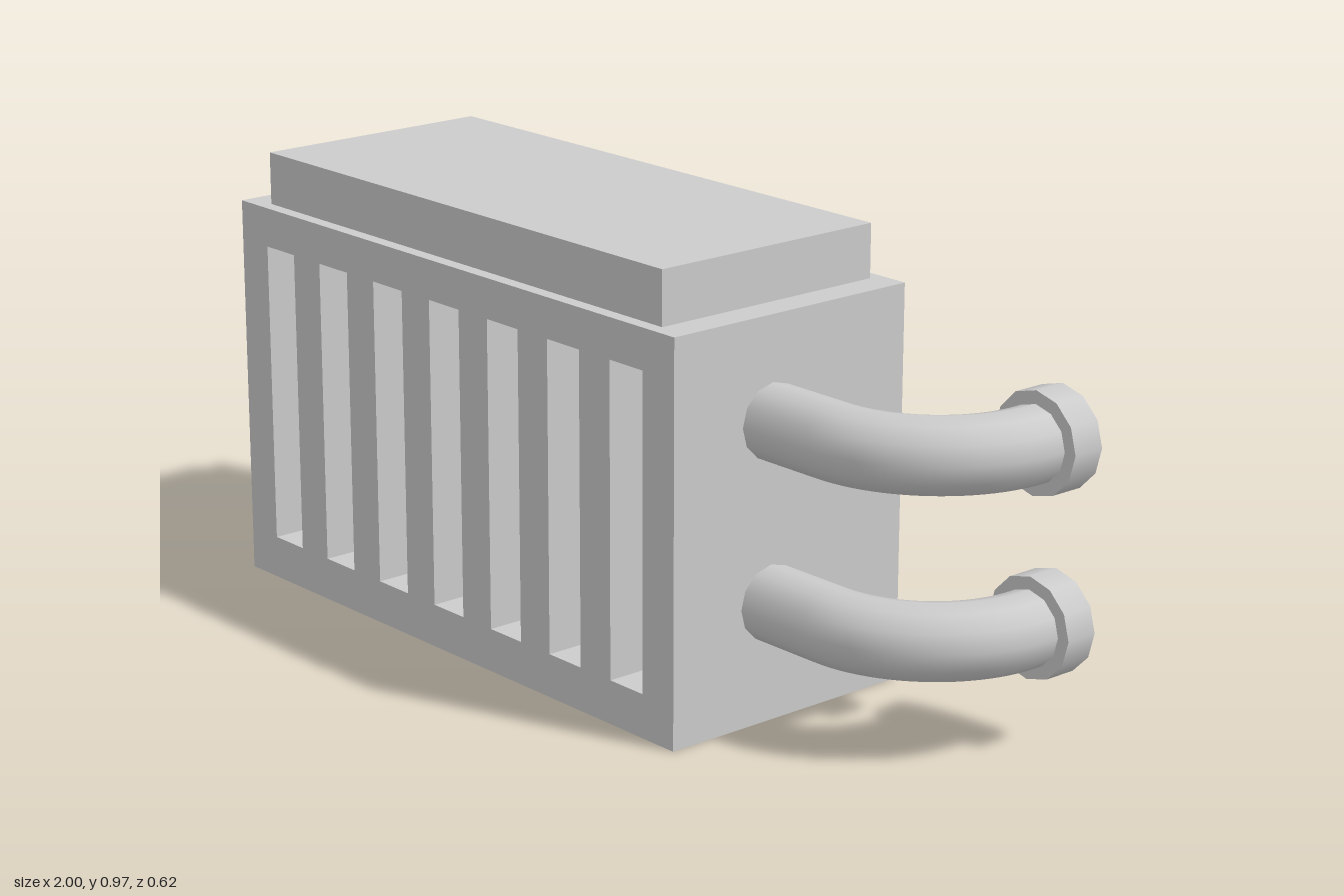
import * as THREE from 'three';

export function createModel() {
  const model = new THREE.Group();
  const grey = new THREE.MeshStandardMaterial({ color: 0xcccccc });
  const shell = new THREE.MeshStandardMaterial({ color: 0xcccccc, side: THREE.DoubleSide });
  const cyan = new THREE.MeshStandardMaterial({ color: 0x12fff9 });

  function add(parent, name, geometry, material, x = 0, y = 0, z = 0) {
    const mesh = new THREE.Mesh(geometry, material);
    mesh.name = name;
    mesh.position.set(x, y, z);
    parent.add(mesh);
    return mesh;
  }

  function rect(path, x0, y0, x1, y1) {
    path.moveTo(x0, y0);
    path.lineTo(x1, y0);
    path.lineTo(x1, y1);
    path.lineTo(x0, y1);
    path.closePath();
    return path;
  }

  // Housing: solid rear block plus a slotted front wall
  const left = -1, right = 0.45, height = 0.857, half = 0.31, slotDepth = 0.2;
  const width = right - left, midX = (left + right) / 2;
  const backDepth = 2 * half - slotDepth, slotBack = half - slotDepth;
  add(model, 'housing', new THREE.BoxGeometry(width, height, backDepth), grey,
    midX, height / 2, -half + backDepth / 2);

  const front = rect(new THREE.Shape(), left, 0, right, height);
  const slotW = 0.1, slotBottom = 0.095, slotTop = 0.77;
  for (let i = 0; i < 7; i++) {
    const x = -0.857 + i * 0.194;
    front.holes.push(rect(new THREE.Path(), x - slotW / 2, slotBottom, x + slotW / 2, slotTop));
    // Coloured panel at the back of each slot
    add(model, 'slotPanel', new THREE.PlaneGeometry(slotW, slotTop - slotBottom), cyan,
      x, (slotBottom + slotTop) / 2, slotBack + 0.002);
  }
  add(model, 'slottedFront',
    new THREE.ExtrudeGeometry(front, { depth: slotDepth, bevelEnabled: false }), grey, 0, 0, slotBack);

  // Raised lid
  add(model, 'lid', new THREE.BoxGeometry(1.31, 0.116, 0.56), grey, -0.275, 0.915, 0);

  // Two bent pipes, each ending in an open collar facing the back
  const pipeX = 0.89, pipeZ = 0.05, bend = 0.267, k = bend * 0.5523;
  const startX = pipeX - bend, endZ = pipeZ - bend, collarFront = -0.235;
  const v = (x, z) => new THREE.Vector3(x, 0, z);
  const path = new THREE.CurvePath();
  path.add(new THREE.LineCurve3(v(right, pipeZ), v(startX, pipeZ)));
  path.add(new THREE.CubicBezierCurve3(v(startX, pipeZ), v(startX + k, pipeZ),
    v(pipeX, endZ + k), v(pipeX, endZ)));
  path.add(new THREE.LineCurve3(v(pipeX, endZ), v(pipeX, collarFront)));

  const pipeR = 0.08, collarR = 0.108, collarLen = half + collarFront;
  for (const y of [0.255, 0.637]) {
    const pipe = new THREE.Group();
    pipe.name = 'pipe';
    pipe.position.y = y;
    model.add(pipe);
    add(pipe, 'pipeTube', new THREE.TubeGeometry(path, 32, pipeR, 12, false), shell);
    const collar = add(pipe, 'collar',
      new THREE.CylinderGeometry(collarR, collarR, collarLen, 12, 1, true), shell,
      pipeX, 0, collarFront - collarLen / 2);
    collar.rotation.x = Math.PI / 2;
    add(pipe, 'collarStep', new THREE.RingGeometry(pipeR, collarR, 12), shell,
      pipeX, 0, collarFront);
    // Collar facets and step ring share the same corner directions
  }

  return model;
}
